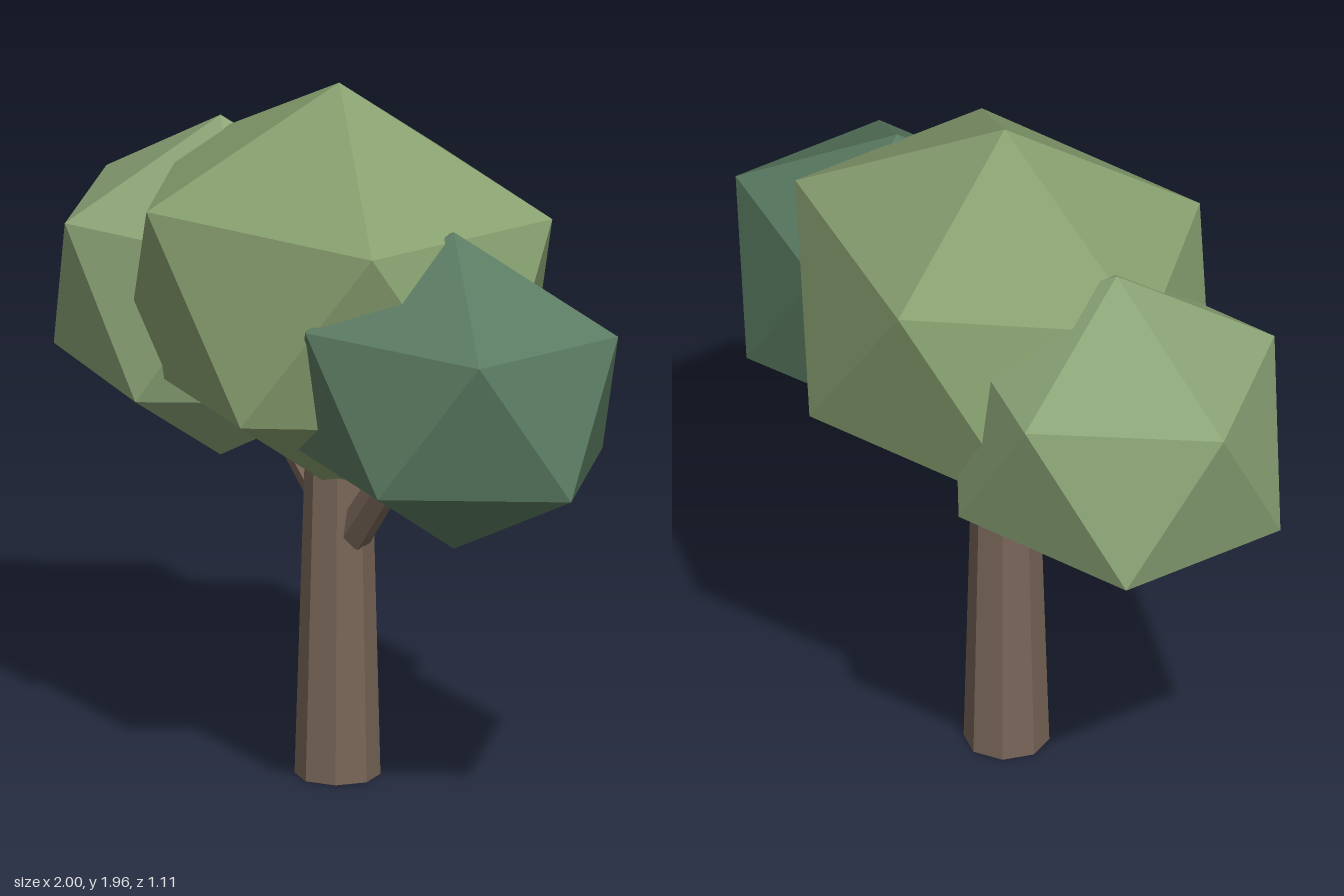
import * as THREE from 'three';
import { ConvexGeometry } from 'three/addons/geometries/ConvexGeometry.js';

function material(name, color) {
  const m = new THREE.MeshStandardMaterial({ color, flatShading: true });
  m.name = name;
  return m;
}

// Stretched icosahedron: two poles and two opposed rings of five.
// a and b are the [x, z] half-axes of the ring ellipse.
function crown(name, mat, center, height, a, b) {
  const points = [new THREE.Vector3(0, height, 0), new THREE.Vector3(0, -height, 0)];
  for (let i = 0; i < 5; i++) {
    const t = (i * Math.PI * 2) / 5;
    const c = Math.cos(t), s = Math.sin(t);
    const p = new THREE.Vector3(a[0] * c + b[0] * s, height * 0.447, a[1] * c + b[1] * s);
    points.push(p, p.clone().negate());
  }
  const mesh = new THREE.Mesh(new ConvexGeometry(points), mat);
  mesh.name = name;
  mesh.position.set(...center);
  return mesh;
}

// Tapered limb running between two points
function limb(name, mat, from, to, r0, r1, sides, turn = 0) {
  const start = new THREE.Vector3(...from), end = new THREE.Vector3(...to);
  const dir = end.clone().sub(start);
  const geo = new THREE.CylinderGeometry(r1, r0, dir.length(), sides, 1, false, turn);
  const mesh = new THREE.Mesh(geo, mat);
  mesh.name = name;
  mesh.position.copy(start).add(end).multiplyScalar(0.5);
  mesh.quaternion.setFromUnitVectors(new THREE.Vector3(0, 1, 0), dir.normalize());
  return mesh;
}

export function createModel() {
  const bark = material('bark brown', 0x786558);
  const green = material('leaf green', 0x88a070);
  const lightGreen = material('light leaf green', 0x8ca577);
  const darkGreen = material('dark leaf green', 0x5b7b62);

  const tree = new THREE.Group();
  tree.name = 'tree';
  tree.add(
    // Trunk and its two branches
    limb('trunk', bark, [0.002, 0, 0.01], [0.002, 1, 0.005], 0.117, 0.089, 8, -0.157),
    limb('leftBranch', bark, [0.06, 0.69, 0.015], [0.34, 1.04, 0.1], 0.052, 0.042, 6),
    limb('rightBranch', bark, [-0.02, 0.72, -0.01], [-0.36, 1.05, -0.08], 0.045, 0.035, 6),
    // Three overlapping foliage masses
    crown('mainCrown', green, [0, 1.38, 0], 0.58, [-0.085, -0.538], [0.65, -0.022]),
    crown('rightCrown', lightGreen, [-0.5, 1.265, -0.11], 0.483, [-0.061, -0.449], [-0.502, 0.014]),
    crown('leftCrown', darkGreen, [0.51, 1.215, 0.14], 0.45, [-0.065, -0.414], [0.494, -0.026]),
  );
  return tree;
}
